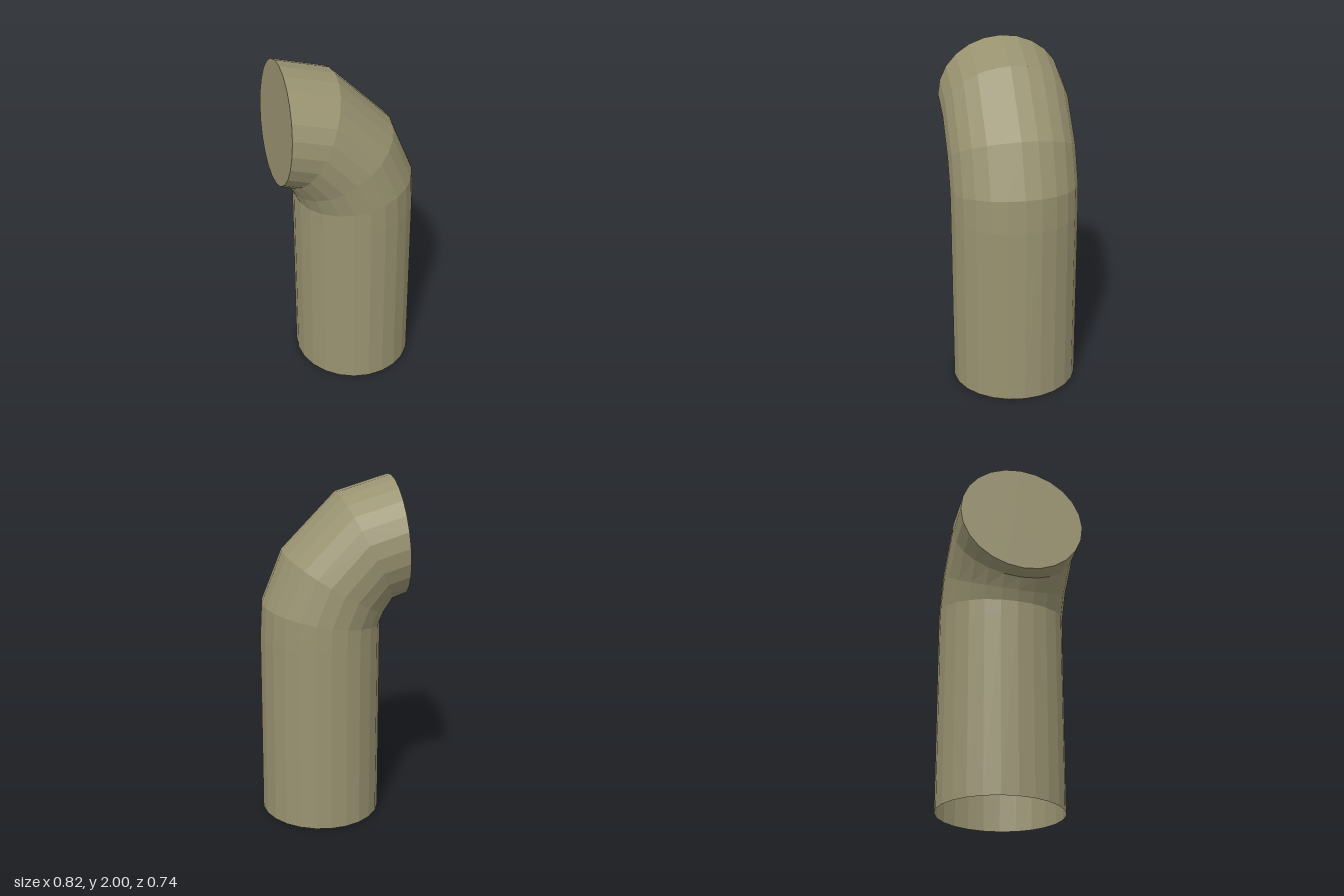
import * as THREE from 'three';

const SIDES = 24;
const HALF_DEPTH = 0.37;

// Each ring: inner (x, y) and outer (x, y) points of the elbow's side profile
const RINGS = [
  [-0.285, 0, 0.41, 0],
  [-0.285, 1.08, 0.41, 1.08],
  [-0.285, 1.16, 0.4, 1.28],
  [-0.31, 1.22, 0.28, 1.58],
  [-0.345, 1.285, -0.04, 1.91],
  [-0.41, 1.31, -0.35, 2.0],
];

// Point on a tilted elliptical ring
function ringPoint([ix, iy, ox, oy], i) {
  const a = (i / SIDES) * Math.PI * 2;
  const t = (1 + Math.cos(a)) / 2;
  return [ix + (ox - ix) * t, iy + (oy - iy) * t, HALF_DEPTH * Math.sin(a)];
}

function makeGeometry(positions, index) {
  const geo = new THREE.BufferGeometry();
  geo.setAttribute('position', new THREE.Float32BufferAttribute(positions, 3));
  geo.setIndex(index);
  geo.computeVertexNormals();
  return geo;
}

export function createModel() {
  const group = new THREE.Group();
  group.name = 'bentPipe';
  const material = new THREE.MeshStandardMaterial({
    color: 0x999371, flatShading: true, side: THREE.DoubleSide,
  });

  // Pipe wall: straight shaft and elbow, open at the bottom
  const positions = [], index = [];
  RINGS.forEach((ring, r) => {
    for (let i = 0; i < SIDES; i++) {
      positions.push(...ringPoint(ring, i));
      if (r === 0) continue;
      const j = (i + 1) % SIDES;
      const a = (r - 1) * SIDES + i, b = (r - 1) * SIDES + j;
      const c = r * SIDES + i, d = r * SIDES + j;
      index.push(a, c, b, b, c, d);
    }
  });
  const wall = new THREE.Mesh(makeGeometry(positions, index), material);
  wall.name = 'pipeWall';
  group.add(wall);

  // Flat cap closing the bent end
  const end = RINGS[RINGS.length - 1];
  const capPositions = [], capIndex = [];
  for (let i = 0; i < SIDES; i++) {
    capPositions.push(...ringPoint(end, i));
    if (i > 1) capIndex.push(0, i, i - 1);
  }
  const cap = new THREE.Mesh(makeGeometry(capPositions, capIndex), material);
  cap.name = 'endCap';
  group.add(cap);

  return group;
}
